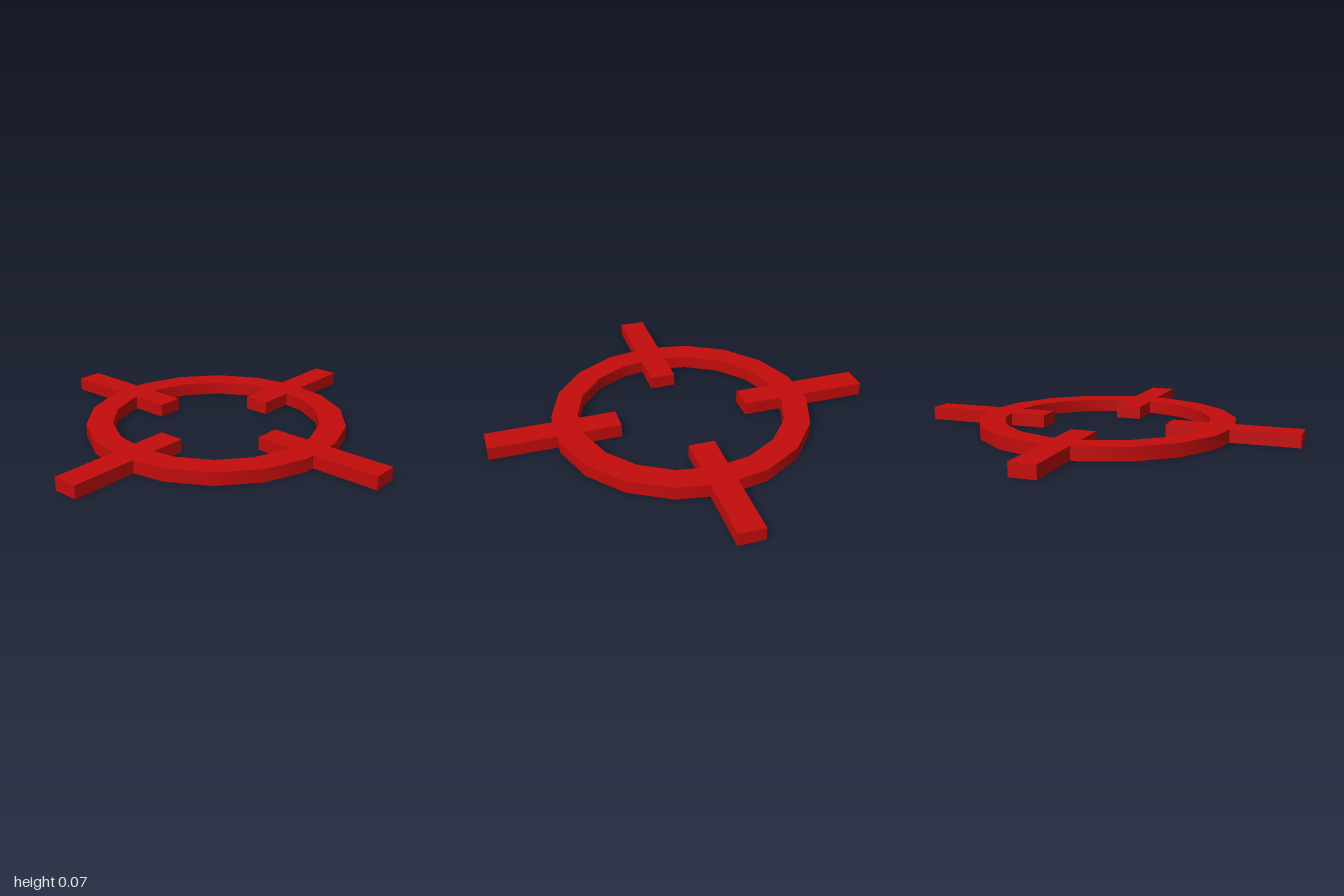
import * as THREE from 'three';
import { toCreasedNormals } from 'three/addons/utils/BufferGeometryUtils.js';

const HEIGHT = 0.0667;
const OUTER = 0.667;
const INNER = 0.533;

export function createModel() {
  const model = new THREE.Group();
  model.name = 'crosshair';

  const red = new THREE.MeshStandardMaterial({ color: 0xc40c0c });
  red.name = 'red';

  // Eighteen-sided ring with a rectangular section, smooth around its walls
  const section = [
    [INNER, 0], [OUTER, 0], [OUTER, HEIGHT], [INNER, HEIGHT], [INNER, 0],
  ].map(([r, y]) => new THREE.Vector2(r, y));
  const ringGeometry = new THREE.LatheGeometry(section, 18, Math.PI / 2);
  const ring = new THREE.Mesh(toCreasedNormals(ringGeometry, Math.PI / 4), red);
  ring.name = 'ring';
  model.add(ring);

  // Four bars crossing the ring
  const barGeometry = new THREE.BoxGeometry(0.667, HEIGHT, 0.133);
  barGeometry.translate(0.6665, HEIGHT / 2, 0);
  ['leftBar', 'backBar', 'rightBar', 'frontBar'].forEach((name, i) => {
    const bar = new THREE.Mesh(barGeometry, red);
    bar.name = name;
    bar.rotation.y = i * Math.PI / 2;
    model.add(bar);
  });

  return model;
}
